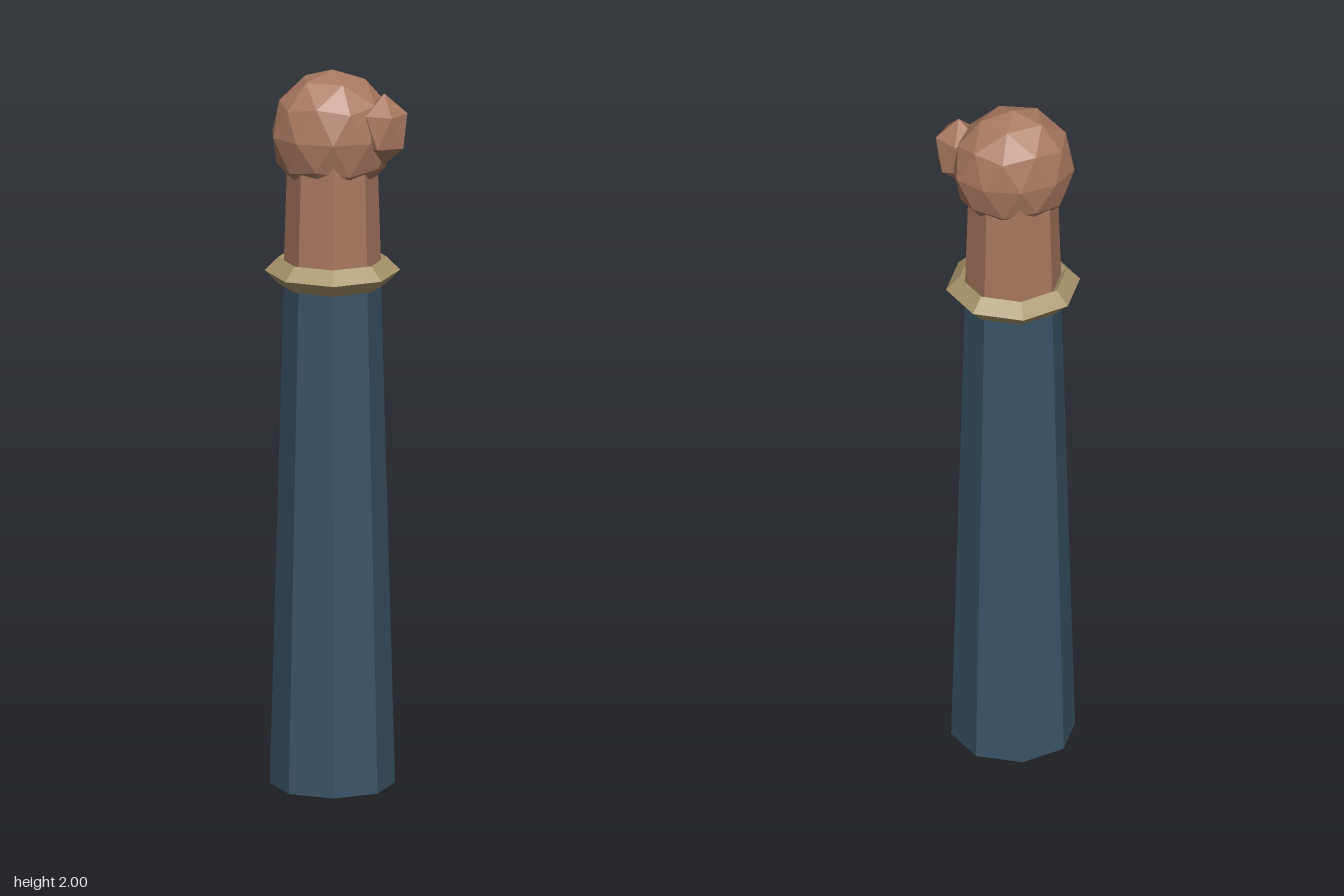
import * as THREE from 'three';

export function createModel() {
  const model = new THREE.Group();
  const CX = -0.01; // arm axis

  const material = (name, color) => {
    const m = new THREE.MeshStandardMaterial({ color, flatShading: true });
    m.name = name;
    return m;
  };
  const skin = material('skin', 0xa87860);
  const cloth = material('sleeve cloth', 0x3a5366);
  const trim = material('cuff trim', 0xa8956c);

  const add = (name, geometry, mat, x, y, z = 0) => {
    const mesh = new THREE.Mesh(geometry, mat);
    mesh.name = name;
    mesh.position.set(x, y, z);
    model.add(mesh);
    return mesh;
  };

  // Eight-sided tapered section standing between two heights
  const taper = (name, mat, rBottom, rTop, y0, y1) =>
    add(name, new THREE.CylinderGeometry(rTop, rBottom, y1 - y0, 8), mat, CX, (y0 + y1) / 2);

  // Faceted ball with one corner pointing straight up
  const ball = (detail, rx, ry, rz) =>
    new THREE.IcosahedronGeometry(1, detail)
      .rotateZ(-Math.atan(2 / (1 + Math.sqrt(5))))
      .scale(rx, ry, rz);

  taper('sleeve', cloth, 0.17, 0.131, 0, 1.44);
  taper('wrist', skin, 0.133, 0.122, 1.42, 1.77);

  // Diamond-section ring around the end of the sleeve
  add('cuff', new THREE.TorusGeometry(0.147, 0.037, 4, 8).rotateX(Math.PI / 2), trim, CX, 1.438);

  add('fist', ball(1, 0.17, 0.18, 0.14), skin, CX, 1.82);
  add('thumb', ball(0, 0.07, 0.1, 0.07), skin, 0.13, 1.848, 0.061);

  return model;
}
